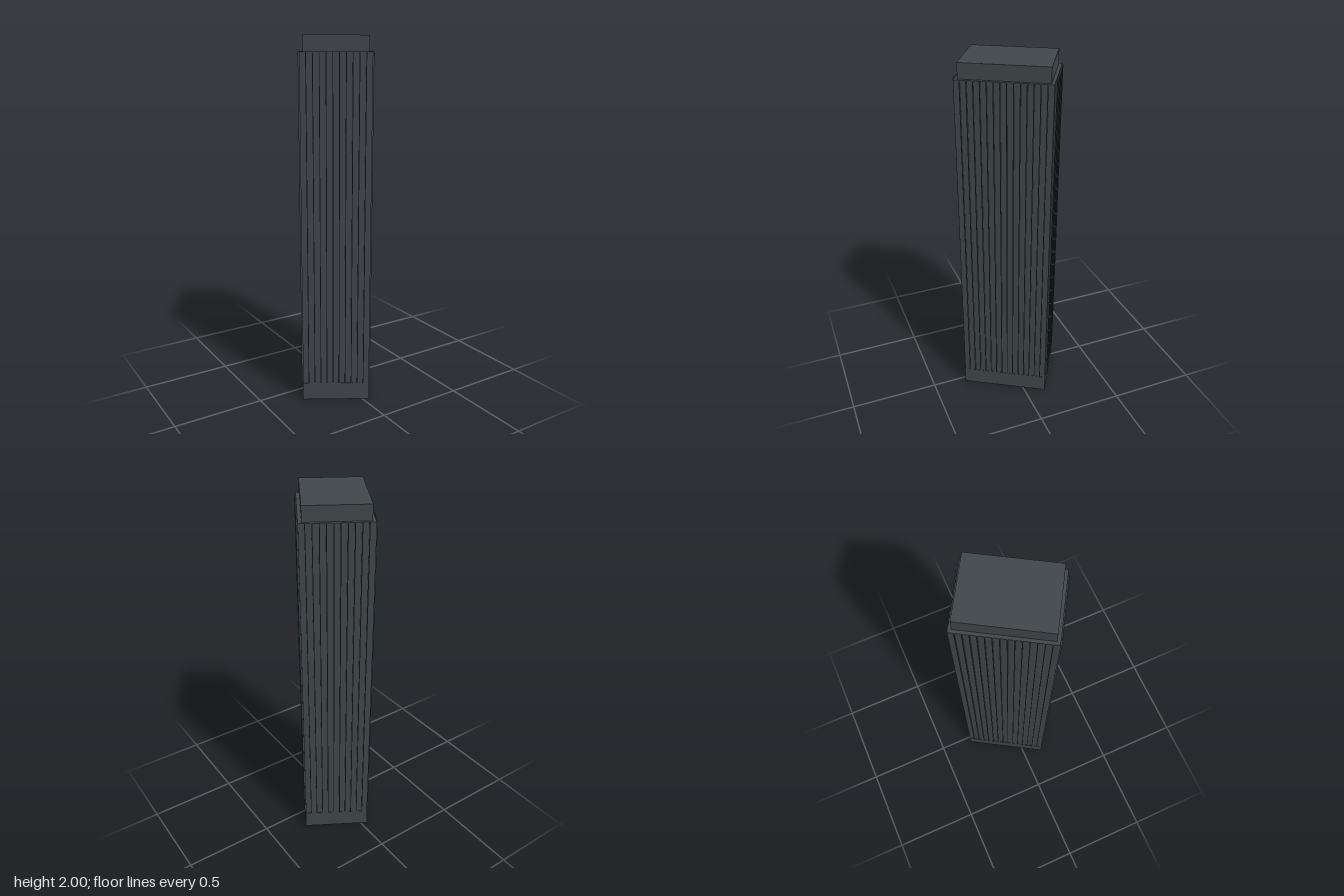
import * as THREE from 'three';

const WIDTH = 0.374, DEPTH = 0.496; // footprint before turning
const BASE_TOP = 0.1, BODY_TOP = 1.92, TOP = 2;

export function createModel() {
  const model = new THREE.Group();
  model.name = 'tower';
  const slate = new THREE.MeshStandardMaterial({ color: 0x41474b });
  slate.name = 'slate grey';

  // Box spanning y0..y1, centred at x, z
  function block(name, w, d, y0, y1, x = 0, z = 0) {
    const mesh = new THREE.Mesh(new THREE.BoxGeometry(w, y1 - y0, d), slate);
    mesh.name = name;
    mesh.position.set(x, (y0 + y1) / 2, z);
    model.add(mesh);
  }

  const bodyW = WIDTH - 0.003, bodyD = DEPTH - 0.003;
  block('base', WIDTH, DEPTH, 0, BASE_TOP);
  block('body', bodyW, bodyD, BASE_TOP, BODY_TOP);
  block('roofBlock', WIDTH - 0.037, DEPTH - 0.037, BODY_TOP, TOP);

  // Thin vertical fins, evenly spaced on all four walls
  const thick = 0.004, reach = 0.008;
  for (const side of [-1, 1]) {
    for (let i = 1; i <= 10; i++) {
      block('endFin', thick, reach, BASE_TOP, BODY_TOP,
        WIDTH * (i / 11 - 0.5), side * (bodyD + reach) / 2);
    }
    for (let i = 1; i <= 14; i++) {
      block('sideFin', reach, thick, BASE_TOP, BODY_TOP,
        side * (bodyW + reach) / 2, DEPTH * (i / 15 - 0.5));
    }
  }

  // The tower stands at an angle to the axes
  model.rotation.y = -THREE.MathUtils.degToRad(31);
  const root = new THREE.Group();
  root.name = 'building';
  root.add(model);
  return root;
}
